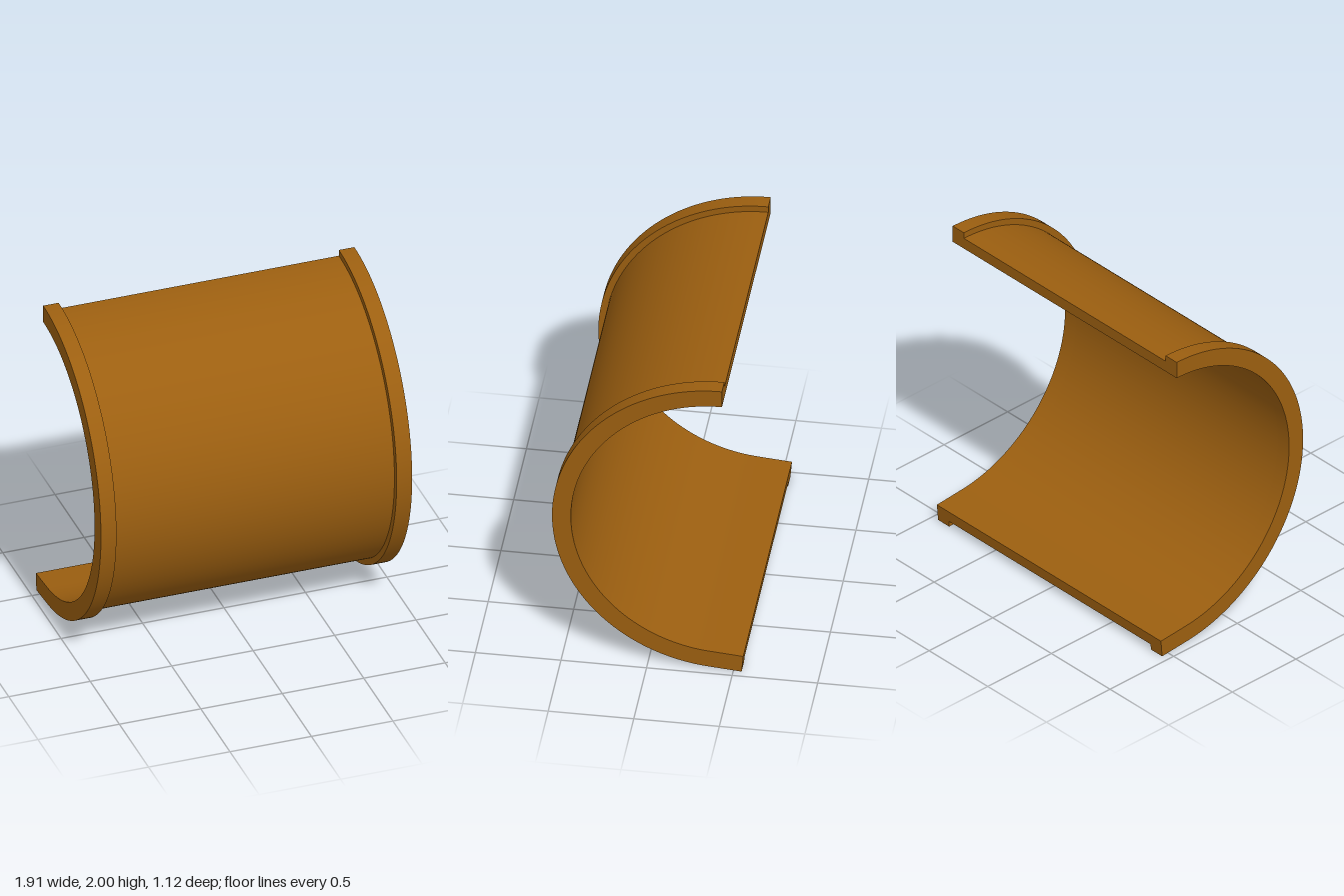
import * as THREE from 'three';
import { toCreasedNormals } from 'three/addons/utils/BufferGeometryUtils.js';

const CENTER_Z = -0.434, CENTER_Y = 1.007;   // axis of the half shell
const INNER_R = 0.883, BODY_R = 0.954, RIM_R = 0.993;
const HALF_WIDTH = 0.955, RIM_WIDTH = 0.095;
const SLOPE = 0.085, LIP = 0.2;              // straight lip after the lower arc end

// Half-ring section with a straight tangent lip, extruded from x0 to x1
function shellGeometry(outerR, x0, x1) {
  const cx = -CENTER_Z, start = Math.PI / 2, end = Math.PI * 1.5 - SLOPE;
  const lipEnd = (r) => [
    cx + r * Math.cos(end) + LIP * Math.cos(SLOPE),
    CENTER_Y + r * Math.sin(end) - LIP * Math.sin(SLOPE),
  ];
  const section = new THREE.Shape();
  section.absarc(cx, CENTER_Y, outerR, start, end, false);
  section.lineTo(...lipEnd(outerR));
  section.lineTo(...lipEnd(INNER_R));
  section.absarc(cx, CENTER_Y, INNER_R, end, start, true);
  section.closePath();
  const geometry = new THREE.ExtrudeGeometry(section, {
    depth: x1 - x0, bevelEnabled: false, curveSegments: 48,
  });
  geometry.translate(0, 0, x0);
  geometry.rotateY(Math.PI / 2);
  return toCreasedNormals(geometry, 0.5);
}

export function createModel() {
  const group = new THREE.Group();
  group.name = 'halfBearingShell';
  const material = new THREE.MeshStandardMaterial({ color: 0x9c5f10 });

  const add = (name, outerR, x0, x1) => {
    const mesh = new THREE.Mesh(shellGeometry(outerR, x0, x1), material);
    mesh.name = name;
    group.add(mesh);
  };

  // Thin curved wall between two raised end rims
  const inner = HALF_WIDTH - RIM_WIDTH;
  add('shellWall', BODY_R, -inner, inner);
  add('rightRim', RIM_R, -HALF_WIDTH, -inner);
  add('leftRim', RIM_R, inner, HALF_WIDTH);
  return group;
}
